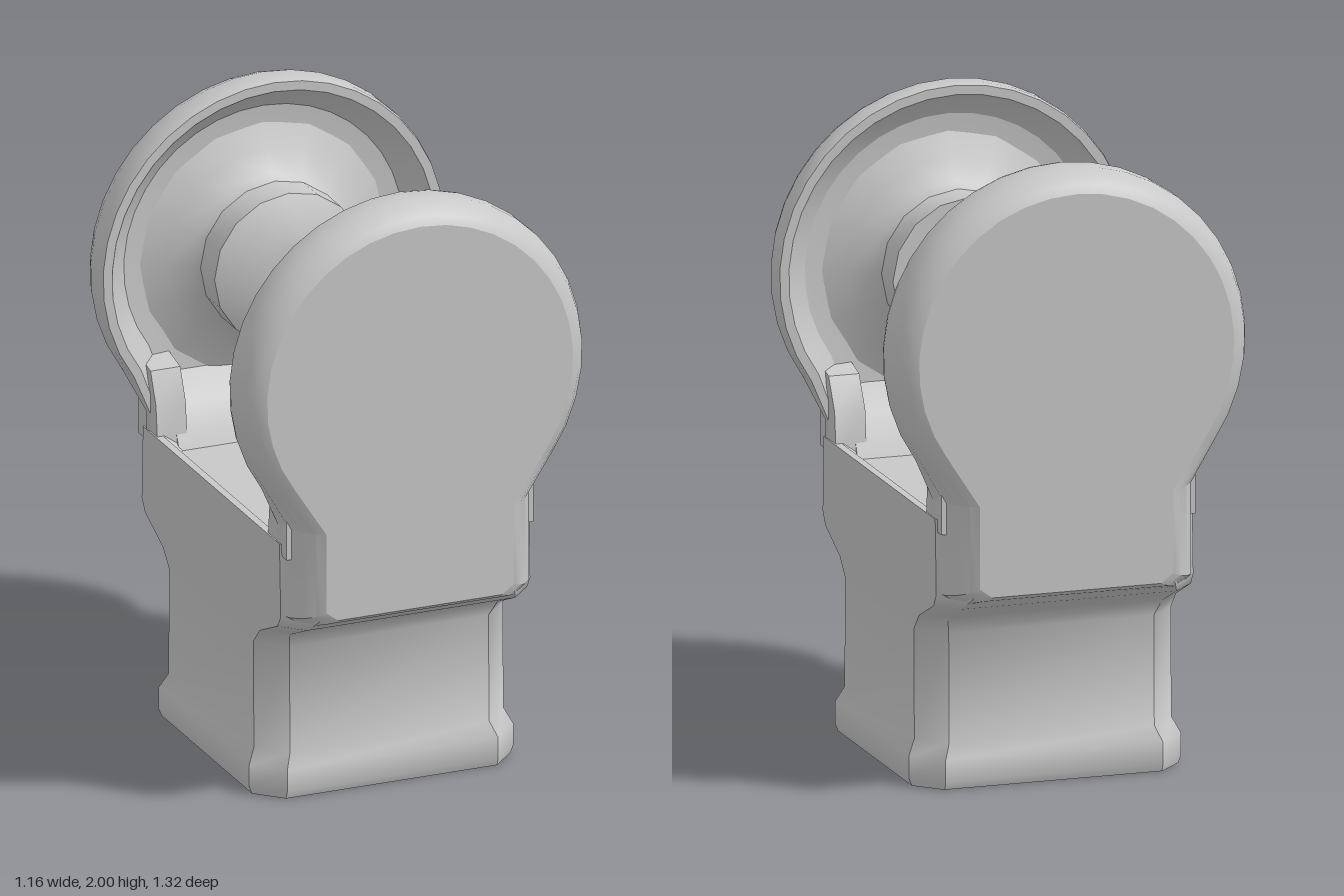
import * as THREE from 'three';
import { toCreasedNormals } from 'three/addons/utils/BufferGeometryUtils.js';

const grey = new THREE.MeshStandardMaterial({ color: 0xc8c8c8 });
grey.name = 'grey';

function part(name, geometry, crease = 0.6) {
  const mesh = new THREE.Mesh(toCreasedNormals(geometry, crease), grey);
  mesh.name = name;
  return mesh;
}

// Skin a stack of equal-length rings, closing both ends with fans.
function loft(rings, startCentre, endCentre) {
  const n = rings[0].length;
  const last = (rings.length - 1) * n;
  const points = [...rings.flat(), startCentre, endCentre];
  const index = [];
  for (let j = 0; j < n; j++) {
    const k = (j + 1) % n;
    for (let i = 0; i < last; i += n) {
      index.push(i + j, i + k, i + n + k, i + j, i + n + k, i + n + j);
    }
    index.push(last + n, k, j, last + n + 1, last + j, last + k);
  }
  const g = new THREE.BufferGeometry();
  g.setAttribute('position', new THREE.Float32BufferAttribute(points.flat(), 3));
  g.setIndex(index);
  return g;
}

// Rectangle with chamfered corners at height y.
function chamferedRing([y, hx, hz, c]) {
  return [
    [hx, y, hz - c], [hx, y, c - hz], [hx - c, y, -hz], [c - hx, y, -hz],
    [-hx, y, c - hz], [-hx, y, hz - c], [c - hx, y, hz], [hx - c, y, hz],
  ];
}

// Round head on a neck that narrows outwards, shrunk by an inset, at depth z.
function keyholeRing([z, inset]) {
  const ring = [];
  const steps = 26;
  for (let i = 0; i <= steps; i++) {
    const a = THREE.MathUtils.degToRad(-35 + (250 * i) / steps);
    const r = 0.58 - inset;
    ring.push([r * Math.cos(a), 1.42 + r * Math.sin(a), z]);
  }
  const x = 0.42 - inset * 0.8 - Math.max(0, z - 0.53) * 0.4;
  const low = 0.635 + inset * 0.5;
  ring.push([-x, 0.96, z], [-x, low + 0.03, z], [0.04 - x, low, z]);
  ring.push([x - 0.04, low, z], [x, low + 0.03, z], [x, 0.96, z]);
  return ring;
}

// Block with an outline in depth and height, extruded across its width.
function makeWeb(name, outline, x, width) {
  const shape = new THREE.Shape(outline.map(([z, y]) => new THREE.Vector2(-z, y)));
  const web = new THREE.ExtrudeGeometry(shape, { depth: width, bevelEnabled: false });
  web.translate(0, 0, -width / 2).rotateY(Math.PI / 2).translate(x, 0, 0);
  return part(name, web);
}

// One cheek: dished plate, boss, and the webs joining it to the body.
function makeCheek(name, rim, bossTip) {
  const cheek = new THREE.Group();
  cheek.name = name;

  const rings = [
    [0.58, 0.2], [0.57, 0.11], [rim + 0.02, 0.05], [rim, 0.035], [rim, 0.005],
    [rim + 0.02, 0], [0.575, 0], [0.615, 0.015], [0.645, 0.038], [0.66, 0.065],
  ].map(keyholeRing);
  cheek.add(part('cheekPlate', loft(rings, [0, 1.42, 0.58], [0, 1.42, 0.66]), 0.46));

  const profile = [[0.42, -0.58], [0.34, -0.545], [0.27, -0.505], [0.25, -0.48], [0.25, -0.37], ...bossTip];
  const boss = new THREE.LatheGeometry(profile.map(([r, y]) => new THREE.Vector2(r, y)), 16);
  boss.rotateX(-Math.PI / 2).translate(0, 1.42, 0);
  cheek.add(part('boss', boss));

  const ribOutline = [[0.58, 0.86], [0.43, 0.86], [0.445, 1.0], [rim, 1.1], [0.58, 1.12]];
  for (const x of [-0.365, 0.365]) cheek.add(makeWeb('rib', ribOutline, x, 0.1));
  const filletOutline = [[0.58, 0.82], [0.4, 0.82], [0.435, 0.9], [0.48, 0.98], [0.58, 1.05]];
  cheek.add(makeWeb('fillet', filletOutline, 0, 0.7));
  return cheek;
}

export function createModel() {
  const model = new THREE.Group();
  model.name = 'clevisBracket';

  // Body: base flange, chamfered post, flared shoulders, shallow trough on top
  const body = [
    [0.005, 0.435, 0.435, 0.08], [0.03, 0.445, 0.445, 0.09], [0.1, 0.445, 0.445, 0.09],
    [0.15, 0.42, 0.42, 0.085], [0.5, 0.42, 0.415, 0.085], [0.555, 0.42, 0.45, 0.07],
    [0.62, 0.42, 0.59, 0.07], [0.66, 0.42, 0.635, 0.09], [0.9, 0.42, 0.625, 0.09],
    [0.9, 0.395, 0.45, 0.02], [0.85, 0.35, 0.42, 0.02],
  ].map(chamferedRing);
  model.add(part('body', loft(body, [0, 0.005, 0], [0, 0.85, 0])));

  // Flat boss in front, pointed and dimpled boss behind
  model.add(makeCheek('frontCheek', 0.503, [[0, -0.365]]));
  const backTip = [[0.13, -0.31], [0.07, -0.31], [0.05, -0.335], [0, -0.335]];
  const back = makeCheek('backCheek', 0.487, backTip);
  back.rotation.y = Math.PI;
  model.add(back);
  return model;
}
